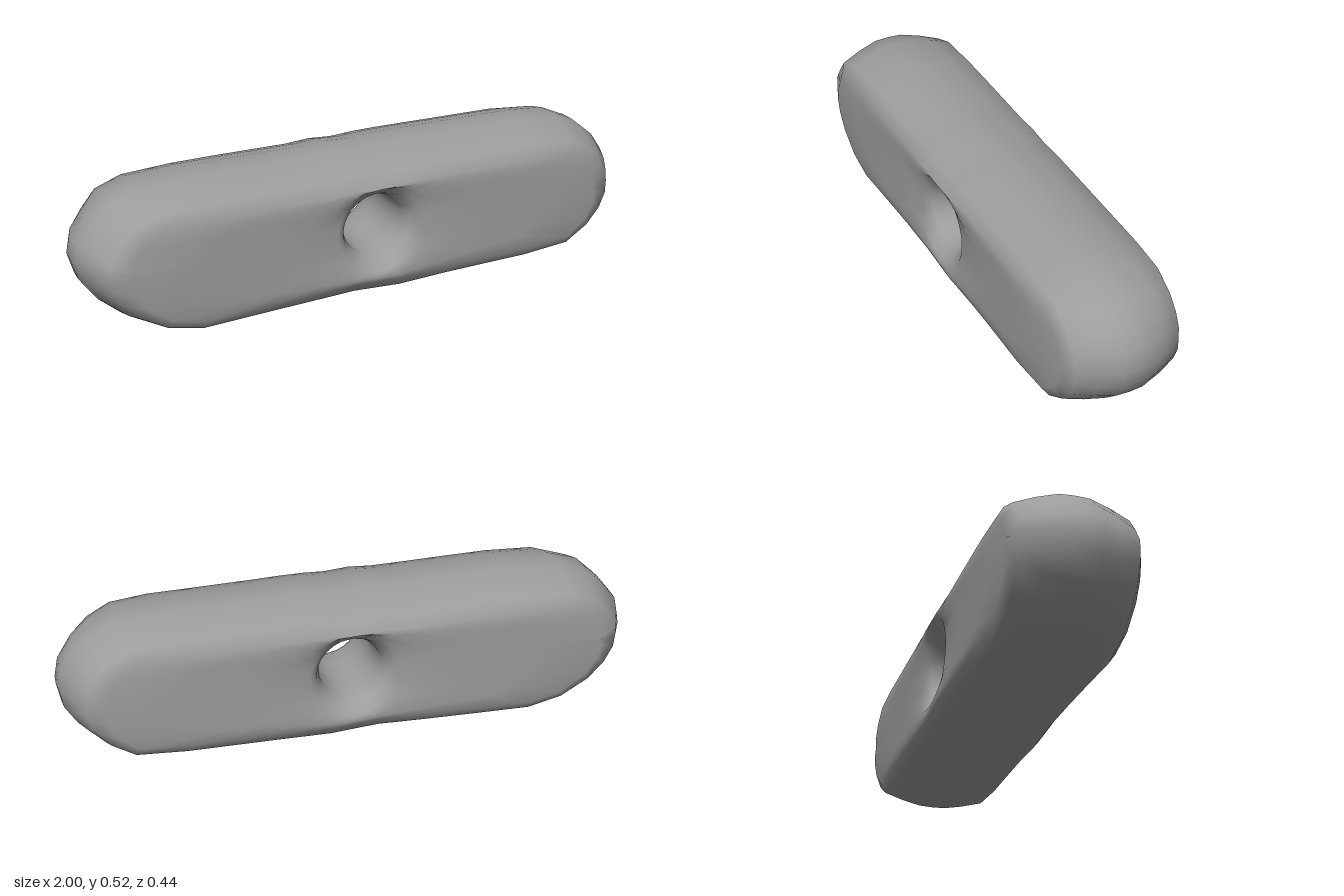
import * as THREE from 'three';

// Outline of the bar in x, y, counter-clockwise from the +x tip
const OUTLINE = [
  [1, 0.28], [0.986, 0.35], [0.945, 0.41], [0.885, 0.46], [0.79, 0.503], [0.65, 0.515],
  [0.45, 0.517], [0.28, 0.519], [0.18, 0.52], [0.1, 0.519], [0.02, 0.514], [-0.07, 0.52],
  [-0.15, 0.514], [-0.27, 0.515], [-0.42, 0.516], [-0.58, 0.515], [-0.76, 0.505], [-0.87, 0.47],
  [-0.935, 0.41], [-0.986, 0.345], [-1, 0.28], [-0.978, 0.205], [-0.93, 0.14], [-0.86, 0.08],
  [-0.75, 0.025], [-0.62, 0], [-0.42, 0.006], [-0.25, 0.012], [-0.15, 0.016], [-0.07, 0.02],
  [0.02, 0.015], [0.1, 0.01], [0.18, 0.012], [0.28, 0.015], [0.42, 0.018], [0.6, 0.022],
  [0.78, 0.035], [0.88, 0.085], [0.945, 0.145], [0.986, 0.21],
].map(([x, y]) => new THREE.Vector2(x, y));

const HOLE = new THREE.Vector2(0.022, 0.27);
const RIM = 0.155;
const EDGE = 0.09;

// Half of the cross-section, from the outer middle over the face into the hole
const HALF = [
  { inset: 0, z: 0 }, { inset: 0.002, z: 0.05 }, { inset: 0.02, z: 0.12 },
  { inset: 0.045, z: 0.19 }, { inset: EDGE, z: 0.214 },
  { blend: 0.65, z: 0.218 }, { blend: 0.25, z: 0.216 },
  { radius: RIM, z: 0.206 }, { radius: 0.125, z: 0.178 },
  { radius: 0.109, z: 0.14 }, { radius: 0.104, z: 0.07 }, { radius: 0.104, z: 0 },
];
const SECTION = [...HALF, ...HALF.slice(1, -1).reverse().map((s) => ({ ...s, z: -s.z }))];

function barGeometry() {
  const n = OUTLINE.length, m = SECTION.length;
  const positions = [], indices = [];

  OUTLINE.forEach((p, i) => {
    const tangent = OUTLINE[(i + 1) % n].clone().sub(OUTLINE[(i + n - 1) % n]).normalize();
    const inward = new THREE.Vector2(-tangent.y, tangent.x);
    const outFromHole = p.clone().sub(HOLE).normalize();
    // The ends are rounder and the underside flatter than the top
    const roundness = 1 + 0.6 * inward.x ** 2 - 0.25 * Math.max(inward.y, 0);
    const insetPoint = (d) => p.clone().addScaledVector(inward, d * roundness);
    const holePoint = (r) => HOLE.clone().addScaledVector(outFromHole, r);

    SECTION.forEach((s) => {
      let q;
      if (s.radius !== undefined) q = holePoint(s.radius);
      else if (s.blend !== undefined) q = holePoint(RIM).lerp(insetPoint(EDGE), s.blend);
      else q = insetPoint(s.inset);
      // The back leans slightly outward towards the -x end
      const depth = s.z < 0 ? 1 - 0.045 * q.x : 1 + 0.01 * Math.cos(q.x * 10);
      positions.push(q.x, q.y, s.z * depth);
    });
  });

  for (let i = 0; i < n; i++) {
    for (let j = 0; j < m; j++) {
      const i2 = (i + 1) % n, j2 = (j + 1) % m;
      const a = i * m + j, b = i2 * m + j, c = i2 * m + j2, d = i * m + j2;
      indices.push(a, b, c, a, c, d);
    }
  }
  const geometry = new THREE.BufferGeometry();
  geometry.setAttribute('position', new THREE.Float32BufferAttribute(positions, 3));
  geometry.setIndex(indices);
  geometry.computeVertexNormals();
  return geometry;
}

export function createModel() {
  const group = new THREE.Group();
  group.name = 'piercedBar';
  const bar = new THREE.Mesh(barGeometry(), new THREE.MeshStandardMaterial({ color: 0x9c9c9c }));
  bar.name = 'barWithHole';
  group.add(bar);
  return group;
}
